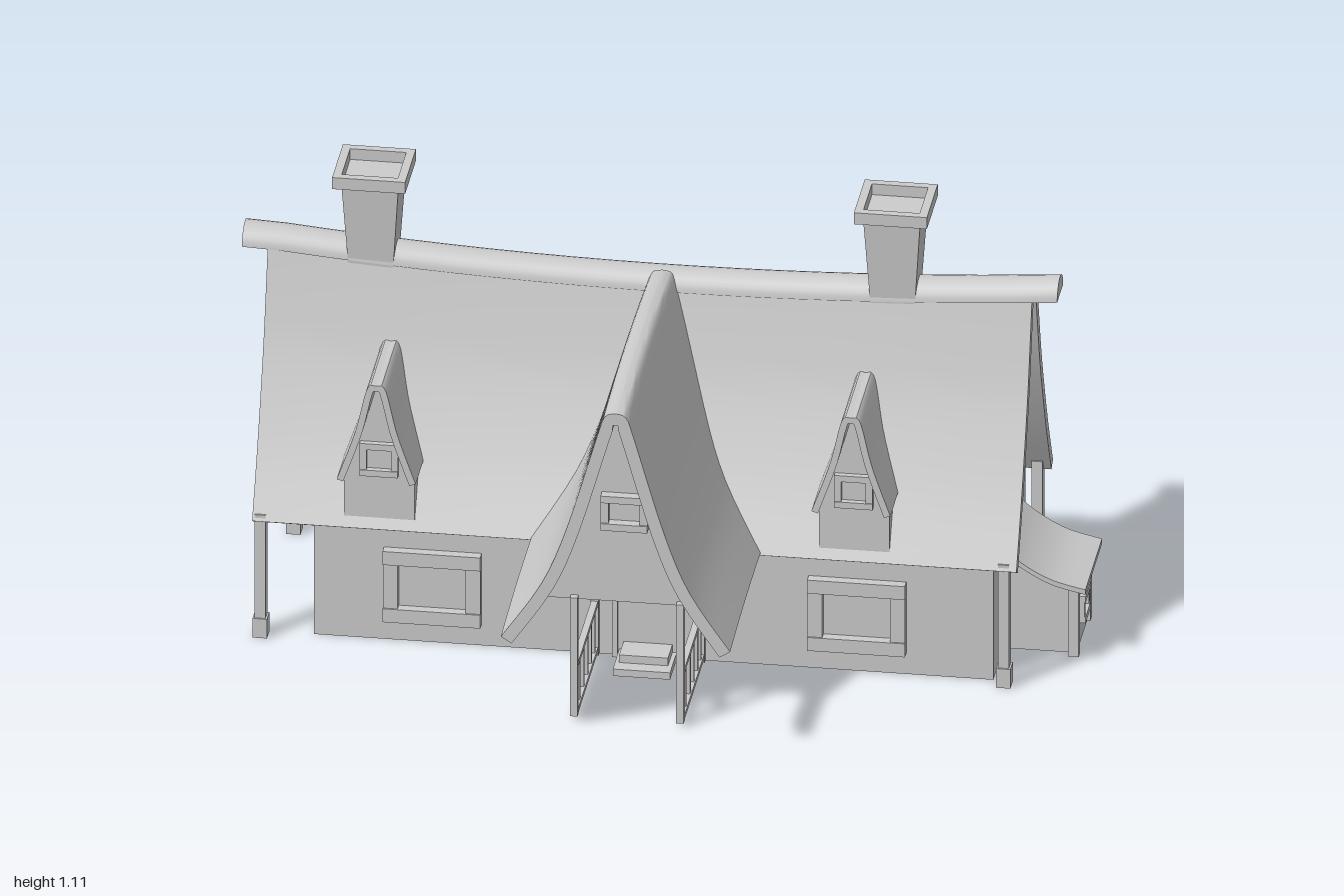
import * as THREE from 'three';
import { toCreasedNormals } from 'three/addons/utils/BufferGeometryUtils.js';

const mat = new THREE.MeshStandardMaterial({ color: 0xcccccc, side: THREE.DoubleSide });
const V = (x, y) => new THREE.Vector2(x, y);

function add(parent, name, geo, x = 0, y = 0, z = 0) {
  const m = new THREE.Mesh(geo, mat);
  m.name = name;
  m.position.set(x, y, z);
  parent.add(m);
  return m;
}

// box given by its limits
function box(parent, name, x0, x1, y0, y1, z0, z1) {
  return add(parent, name, new THREE.BoxGeometry(x1 - x0, y1 - y0, z1 - z0),
    (x0 + x1) / 2, (y0 + y1) / 2, (z0 + z1) / 2);
}

// mirrored closed outlines from a half profile running from ridge to eave
function roofOutlines(pts, t, n = 14) {
  const c = new THREE.SplineCurve(pts.map(p => V(...p)));
  const outer = [], inner = [];
  for (let i = 0; i <= n; i++) {
    const p = c.getPoint(i / n), d = c.getTangent(i / n);
    outer.push(p);
    const q = V(p.x + d.y * t, p.y - d.x * t);
    if (q.x > 0.004) inner.push(q);
  }
  const flip = a => a.map(p => V(-p.x, p.y));
  return {
    shell: [...outer, ...inner.slice().reverse(), ...flip(inner), ...flip(outer).reverse()],
    inner,
  };
}

function extrude(pts, depth, steps = 1) {
  const g = new THREE.ExtrudeGeometry(new THREE.Shape(pts), { depth, steps, bevelEnabled: false });
  return g;
}

// move heights by a rule and rebuild normals
function bend(geo, rule) {
  const p = geo.attributes.position;
  for (let i = 0; i < p.count; i++) p.setY(i, p.getY(i) + rule(p.getX(i), p.getY(i), p.getZ(i)));
  return toCreasedNormals(geo, 0.5);
}

// ridge sags towards the middle, eaves stay level
const sag = (x, y) => -0.045 * Math.max(0, 1 - (x / 0.95) ** 2) * THREE.MathUtils.clamp((y - 0.3) / 0.6, 0, 1);

// extrude along x between limits, centred on the ridge, then sag
function alongX(pts, x0, x1) {
  const g = extrude(pts, x1 - x0, 20);
  g.rotateY(Math.PI / 2);
  g.translate(x0, 0, -0.243);
  return bend(g, sag);
}

// window frame with sill, on a front-facing wall
function windowFrame(w, h, t, d) {
  const g = new THREE.Group();
  g.name = 'window';
  for (const s of [-1, 1]) box(g, 'jamb', s * (w / 2 - t / 2) - t / 2, s * (w / 2 - t / 2) + t / 2, -h / 2, h / 2, -0.01, d);
  box(g, 'lintel', -w / 2, w / 2, h / 2 - t, h / 2, -0.01, d * 1.2);
  box(g, 'sill', -w / 2, w / 2, -h / 2, -h / 2 + t, -0.01, d * 1.2);
  return g;
}

function place(parent, obj, x, y, z, ry = 0) {
  obj.position.set(x, y, z);
  obj.rotation.y = ry;
  parent.add(obj);
}

function dormer() {
  const g = new THREE.Group();
  g.name = 'dormer';
  const { shell } = roofOutlines([[0, 0.70], [0.022, 0.69], [0.05, 0.575], [0.093, 0.45]], 0.016);
  const roof = extrude(shell, 0.238);
  roof.translate(0, 0, -0.15);
  add(g, 'dormerRoof', toCreasedNormals(roof, 0.5));
  const wall = [V(-0.083, 0.3), V(0.083, 0.3), V(0.083, 0.45), V(0.038, 0.56), V(0.008, 0.67),
    V(-0.008, 0.67), V(-0.038, 0.56), V(-0.083, 0.45)];
  add(g, 'dormerWall', extrude(wall, 0.185), 0, 0, -0.15);
  place(g, windowFrame(0.09, 0.085, 0.016, 0.012), 0, 0.485, 0.035);
  return g;
}

// flared square stack with a hollow cap
function chimney() {
  const g = new THREE.Group();
  g.name = 'chimney';
  const stack = new THREE.CylinderGeometry(0.067 * Math.SQRT2, 0.05 * Math.SQRT2, 0.26, 4).rotateY(Math.PI / 4);
  add(g, 'stack', stack.toNonIndexed(), 0, 0.95, 0).geometry.computeVertexNormals();
  const square = r => [V(-r, -r), V(r, -r), V(r, r), V(-r, r)];
  const cap = new THREE.Shape(square(0.086));
  cap.holes.push(new THREE.Path(square(0.066)));
  const geo = new THREE.ExtrudeGeometry(cap, { depth: 0.03, bevelEnabled: false }).rotateX(-Math.PI / 2);
  add(g, 'cap', geo, 0, 1.078, 0);
  return g;
}

export function createModel() {
  const house = new THREE.Group();
  house.name = 'cottage';

  // main walls and gables
  const main = roofOutlines([[0.04, 0.91], [0.075, 0.79], [0.12, 0.655], [0.205, 0.465], [0.292, 0.305]], 0.028);
  box(house, 'walls', -0.8, 0.8, 0, 0.33, -0.5, 0.01);
  const core = main.inner.filter(p => p.y > 0.33 && p.x < 0.25);
  add(house, 'gableWalls', alongX([...core.map(p => V(p.x, p.y)), V(0.25, 0.31), V(-0.25, 0.31),
    ...core.map(p => V(-p.x, p.y)).reverse()], -0.8, 0.8));

  // main roof and ridge cap
  add(house, 'mainRoof', alongX(main.shell, -0.94, 0.86));
  const arc = [];
  for (let i = 0; i <= 12; i++) {
    const a = Math.PI * i / 12;
    arc.push(V(0.048 * Math.cos(a), 0.895 + 0.044 * Math.sin(a)));
  }
  add(house, 'ridgeCap', alongX(arc, -1, 0.92));

  // corner posts under the eaves
  for (const x of [-0.922, 0.829]) for (const z of [0.03, -0.505]) {
    box(house, 'cornerPost', x - 0.013, x + 0.013, 0, 0.32, z - 0.015, z + 0.015);
    box(house, 'postFoot', x - 0.017, x + 0.017, 0, 0.05, z - 0.019, z + 0.019);
  }

  // front cross gable
  const cx = -0.013;
  const front = roofOutlines([[0, 0.898], [0.025, 0.888], [0.045, 0.83], [0.115, 0.59], [0.175, 0.44], [0.27, 0.295]], 0.03, 20);
  const arch = (x, y, z) => 0.016 * (1 - ((z - 0.17) / 0.37) ** 2);
  const roof = extrude(front.shell, 0.75, 14);
  roof.translate(cx, 0, -0.22);
  add(house, 'frontGableRoof', bend(roof, arch));
  const fill = front.inner.filter(p => p.y > 0.32);
  const wall = extrude([...fill, V(0.22, 0.31), V(-0.22, 0.31), ...fill.map(p => V(-p.x, p.y)).reverse()], 0.5, 8);
  wall.translate(cx, 0, -0.16);
  add(house, 'frontGableWall', bend(wall, (x, y, z) => y > 0.32 ? arch(x, y, z) : 0));
  place(house, windowFrame(0.11, 0.09, 0.018, 0.02), -0.018, 0.55, 0.34);

  // porch posts and railings
  for (const x of [-0.137, 0.113]) {
    box(house, 'porchPost', x - 0.009, x + 0.009, 0.01, 0.32, 0.339, 0.357);
    box(house, 'wallPost', x - 0.009, x + 0.009, 0, 0.32, 0.005, 0.025);
    for (const y of [0.016, 0.137]) box(house, 'rail', x - 0.008, x + 0.008, y - 0.006, y + 0.006, 0.01, 0.357);
    for (const z of [0.288, 0.222, 0.16, 0.102, 0.048])
      box(house, 'baluster', x - 0.005, x + 0.005, 0.016, 0.137, z - 0.005, z + 0.005);
  }

  // arched door and steps
  const doorShape = r => {
    const s = new THREE.Shape();
    s.moveTo(-r, 0);
    s.lineTo(r, 0);
    s.lineTo(r, 0.205);
    s.absarc(0, 0.205, r, 0, Math.PI, false);
    s.lineTo(-r, 0);
    return s;
  };
  const surround = doorShape(0.083);
  surround.holes.push(doorShape(0.07));
  const flat = { depth: 0.025, bevelEnabled: false, curveSegments: 10 };
  add(house, 'doorFrame', new THREE.ExtrudeGeometry(surround, flat), cx, 0, 0);
  add(house, 'door', new THREE.ExtrudeGeometry(doorShape(0.07), flat), cx, 0, -0.01);
  box(house, 'lowerStep', -0.08, 0.055, 0, 0.018, 0.01, 0.12);
  box(house, 'upperStep', -0.07, 0.045, 0.018, 0.038, 0.01, 0.085);

  // ground floor windows, dormers, chimneys
  for (const x of [-0.52, 0.48]) place(house, windowFrame(0.23, 0.185, 0.035, 0.02), x, 0.148, 0.01);
  for (const x of [-0.642, 0.476]) place(house, dormer(), x, 0, 0);
  for (const x of [-0.697, 0.532]) place(house, chimney(), x, 0, -0.25);

  // side lean-to with a swept roof
  box(house, 'leanToWalls', 0.79, 0.972, 0, 0.195, -0.325, -0.155);
  for (const z of [-0.145, -0.333]) box(house, 'leanToPost', 0.955, 0.98, 0, 0.19, z - 0.012, z + 0.012);
  const sweep = new THREE.SplineCurve([V(0.79, 0.3), V(0.85, 0.25), V(0.92, 0.212), V(1, 0.192)]).getPoints(10);
  const slab = extrude([...sweep, ...sweep.map(p => V(p.x, p.y - 0.013)).reverse()], 0.265);
  add(house, 'leanToRoof', toCreasedNormals(slab, 0.5), 0, 0, -0.37);
  const cheek = extrude([V(0.79, 0.19), V(0.965, 0.19), ...sweep.filter(p => p.x < 0.965).map(p => V(p.x, p.y - 0.006)).reverse()], 0.17);
  add(house, 'leanToGable', cheek, 0, 0, -0.325);
  place(house, windowFrame(0.085, 0.07, 0.016, 0.012), 0.972, 0.09, -0.243, Math.PI / 2);

  return house;
}
